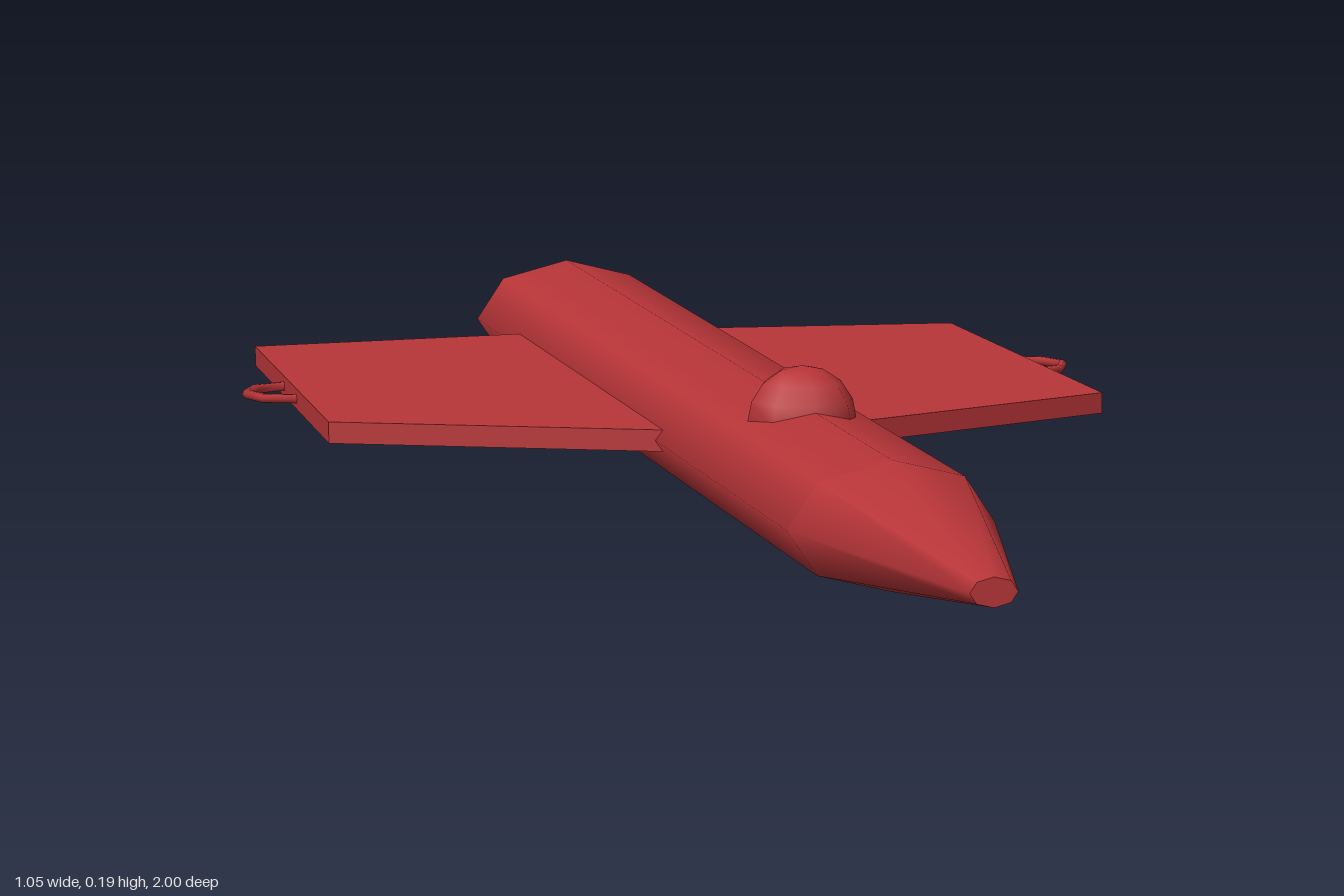
import * as THREE from 'three';

const AXIS_Y = 0.078;

export function createModel() {
  const model = new THREE.Group();
  const red = new THREE.MeshStandardMaterial({ color: 0xb83538 });

  function add(name, geometry, x = 0, y = AXIS_Y, z = 0) {
    const mesh = new THREE.Mesh(geometry, red);
    mesh.name = name;
    mesh.position.set(x, y, z);
    model.add(mesh);
    return mesh;
  }

  // Flattened eight-sided hull section running from zBack to zFront
  function hullSection(name, rFront, rBack, zFront, zBack) {
    const geometry = new THREE.CylinderGeometry(rFront, rBack, zFront - zBack, 8)
      .rotateX(Math.PI / 2)
      .scale(1, 0.62, 1);
    add(name, geometry, 0, AXIS_Y, (zFront + zBack) / 2);
  }
  hullSection('fuselage', 0.11, 0.125, 0.645, -1);
  hullSection('noseCone', 0.024, 0.11, 1, 0.645);

  // Cockpit dome, half sunk into the hull
  add('cockpitDome', new THREE.SphereGeometry(0.062, 8, 8), 0, 0.13, 0.285);

  // Wings and wingtip rings, mirrored left and right
  for (const [side, s] of [['left', 1], ['right', -1]]) {
    const outline = [[0.03, 0.1], [0.468, -0.08], [0.468, -0.718], [0.03, -0.758]];
    // Shape y maps to -z once the slab is laid flat
    const shape = new THREE.Shape(outline.map(([x, z]) => new THREE.Vector2(s * x, -z)));
    const wing = new THREE.ExtrudeGeometry(shape, { depth: 0.025, bevelEnabled: false })
      .rotateX(-Math.PI / 2)
      .translate(0, -0.0125, 0);
    add(side + 'Wing', wing);

    const ring = new THREE.TorusGeometry(0.053, 0.006, 6, 8).rotateX(Math.PI / 2);
    add(side + 'WingtipRing', ring, s * 0.468, AXIS_Y, -0.397);
  }

  return model;
}
